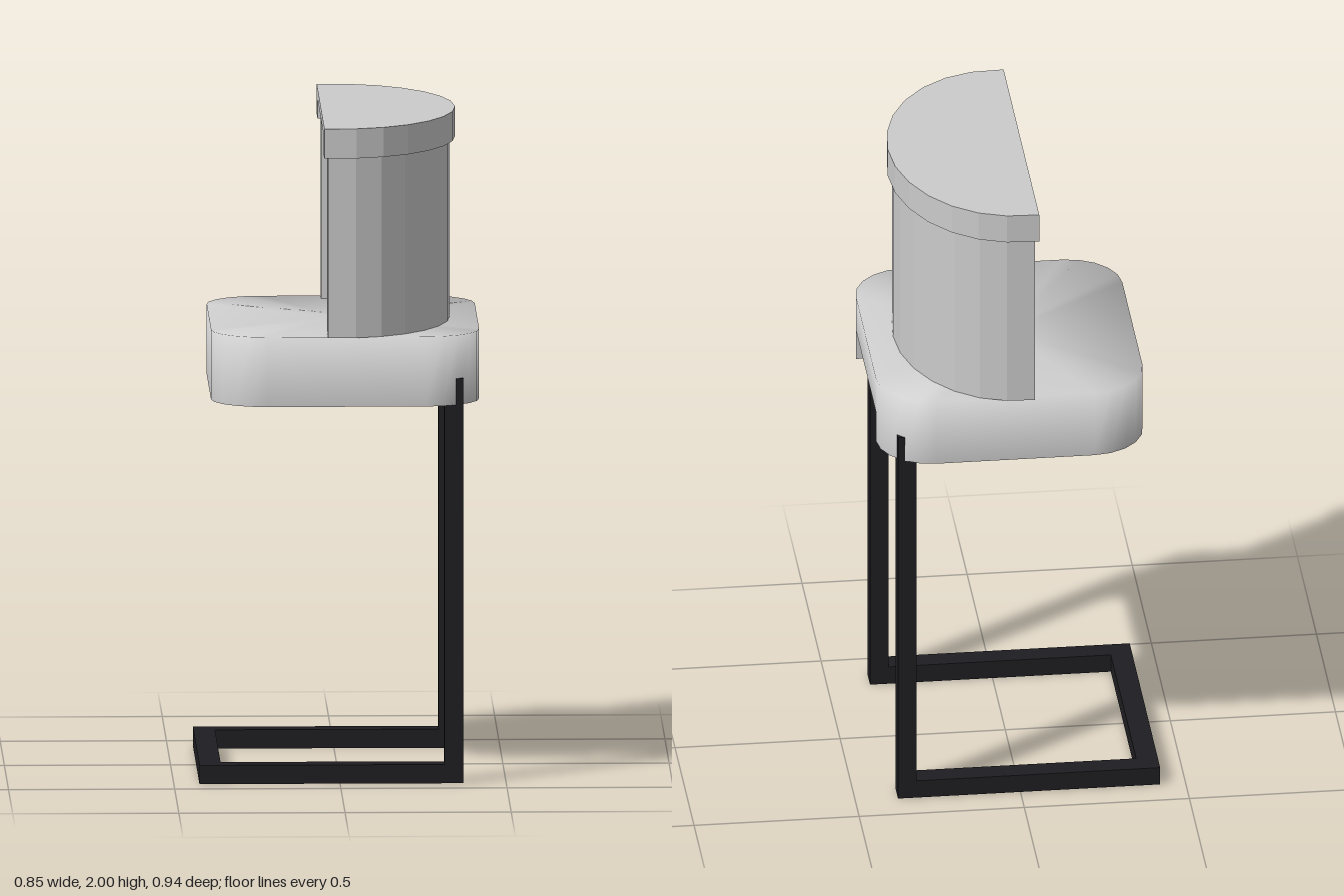
import * as THREE from 'three';
import { mergeVertices, toCreasedNormals } from 'three/addons/utils/BufferGeometryUtils.js';

const grey = new THREE.MeshStandardMaterial({ color: 0xcccccc, side: THREE.DoubleSide });
const dark = new THREE.MeshStandardMaterial({ color: 0x1e1e22 });

function part(name, geometry, material) {
  const m = new THREE.Mesh(geometry, material);
  m.name = name;
  return m;
}

// Extrude a plan outline (x, z) upward from y0 to y1
function slab(name, points, y0, y1) {
  const g = new THREE.ExtrudeGeometry(new THREE.Shape(points), { depth: y1 - y0, bevelEnabled: false });
  g.rotateX(-Math.PI / 2).translate(0, y0, 0);
  return part(name, g, grey);
}

// Half-ellipse bow closing toward +x, with straight ends at x = end
function bow(rx, rz, end) {
  const pts = [new THREE.Vector2(end, -rz)];
  for (let k = -6; k <= 6; k++) {
    const a = THREE.MathUtils.degToRad(k * 13.7);
    pts.push(new THREE.Vector2(rx * Math.cos(a), rz * Math.sin(a)));
  }
  pts.push(new THREE.Vector2(end, rz));
  return pts;
}
const curvedWall = (rx, rz, end, t) => [...bow(rx, rz, end), ...bow(rx - t, rz - t, end).reverse()];

// Skin closed rings of [x, y, z] points, each joined to the next
function loft(rings) {
  const pos = [];
  for (let r = 0; r < rings.length - 1; r++) {
    const t = rings[r], b = rings[r + 1];
    for (let i = 0; i < t.length; i++) {
      const j = (i + 1) % t.length;
      pos.push(...b[i], ...t[i], ...b[j], ...t[i], ...t[j], ...b[j]);
    }
  }
  const g = new THREE.BufferGeometry();
  g.setAttribute('position', new THREE.Float32BufferAttribute(pos, 3));
  return g;
}

// Soft seat whose underside ramps up to a gap in the +x wall, between two full-depth corners
function buildSeat() {
  const top = 1.362, gap = 1.25, floor = 1.15, r = 0.165, halfGap = 0.264, xBack = 0.422, xRamp = -0.34;
  const ramp = x => floor + (gap - floor) * (x - xRamp) / (xBack - xRamp);
  const outer = [], inner = [];
  const corners = [[0.257, 1], [-0.22, 1], [-0.22, -1], [0.257, -1]];
  corners.forEach(([cx, s], c) => {
    for (let k = 0; k <= 5; k++) {
      const a = (c + k / 5) * Math.PI / 2;
      outer.push([cx + r * Math.cos(a), floor, s * halfGap + r * Math.sin(a)]);
      const atGap = cx > 0 && k === (s > 0 ? 0 : 5);
      inner.push([atGap ? xBack : cx > 0 ? 0.29 : xRamp, floor, s * halfGap]);
    }
  });
  for (const s of [-1, 1]) {
    outer.push([xBack, gap, s * halfGap]);
    inner.push([xBack, gap, s * halfGap]);
  }
  const topRing = outer.map(([x, , z]) => [x, top, z]);
  const rampRing = inner.map(([x, , z]) => [x, ramp(x), z]);
  const centre = y => outer.map(() => [0, y, 0]);

  const cushion = mergeVertices(loft([centre(top), topRing, outer]));
  cushion.computeVertexNormals();
  const under = toCreasedNormals(loft([outer, inner, rampRing, centre(ramp(0))]), 0.7);

  const seat = new THREE.Group();
  seat.name = 'seat';
  seat.add(part('seatCushion', cushion, grey), part('seatUnderside', under, grey));
  return seat;
}

function bar(name, x0, x1, y0, y1, z0, z1) {
  const m = part(name, new THREE.BoxGeometry(x1 - x0, y1 - y0, z1 - z0), dark);
  m.position.set((x0 + x1) / 2, (y0 + y1) / 2, (z0 + z1) / 2);
  return m;
}

export function createModel() {
  const model = new THREE.Group();
  model.name = 'barStool';

  // Cantilever frame: two uprights, two floor runners, one cross bar
  const frame = new THREE.Group();
  frame.name = 'frame';
  for (const [side, z0, z1] of [['right', -0.4, -0.333], ['left', 0.333, 0.4]]) {
    frame.add(bar(side + 'Upright', 0.315, 0.371, 0, 1.23, z0, z1));
    frame.add(bar(side + 'Runner', -0.423, 0.315, 0, 0.057, z0, z1));
  }
  frame.add(bar('crossBar', -0.423, -0.358, 0, 0.057, -0.333, 0.333));
  model.add(frame);

  model.add(buildSeat());

  // Curved backrest with an overhanging top rim and a thin cover plate
  const back = new THREE.Group();
  back.name = 'backrest';
  back.add(slab('backrestShell', curvedWall(0.34, 0.453, -0.038, 0.08), 1.362, 1.91));
  back.add(slab('topRim', curvedWall(0.356, 0.468, -0.049, 0.1), 1.91, 1.97));
  back.add(slab('topPlate', bow(0.356, 0.468, -0.049), 1.97, 2.0));
  model.add(back);

  return model;
}
